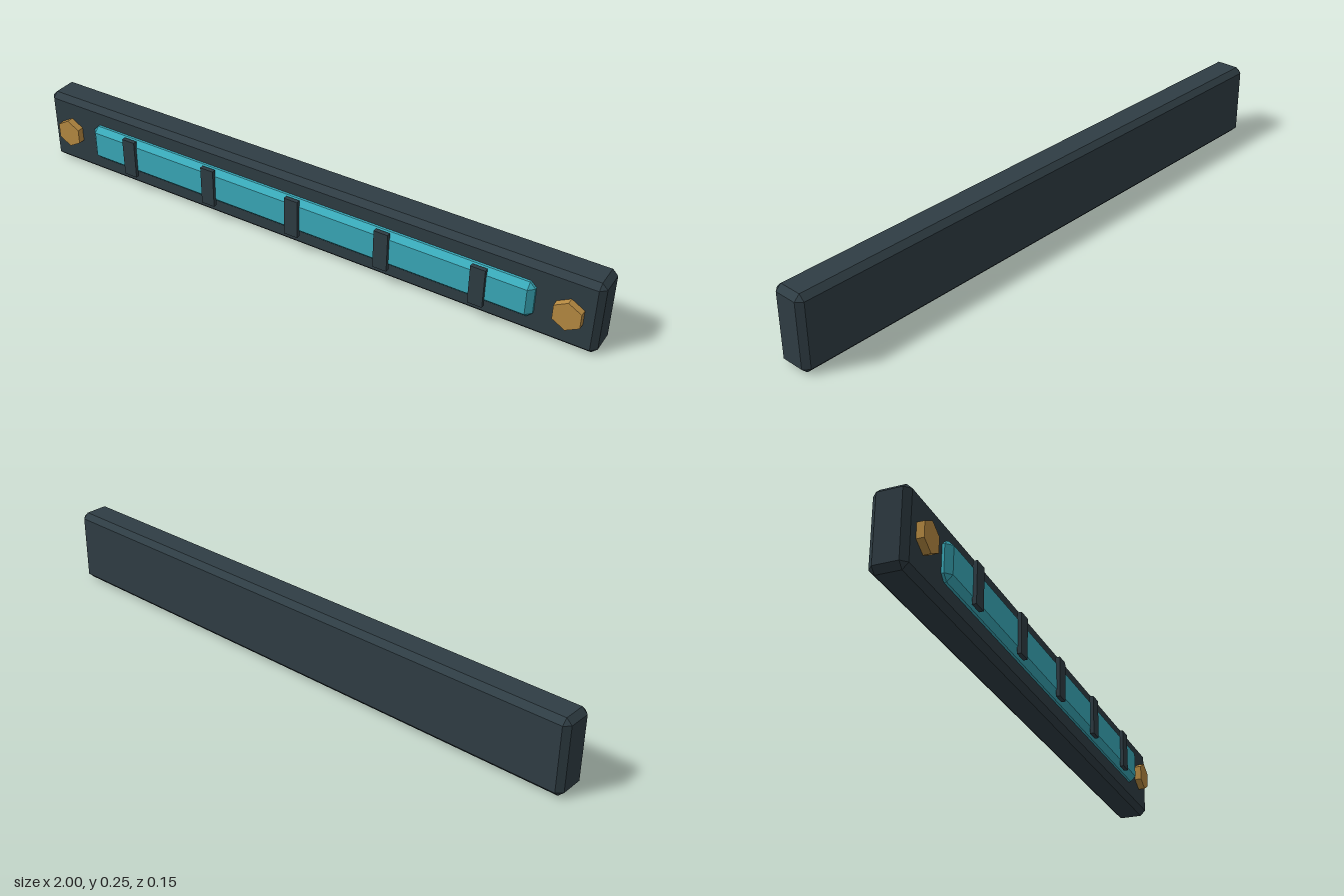
import * as THREE from 'three';
import { ConvexGeometry } from 'three/addons/geometries/ConvexGeometry.js';

const material = (name, color) => {
  const m = new THREE.MeshStandardMaterial({ color });
  m.name = name;
  return m;
};

// Box with every edge and corner cut at 45 degrees
function chamferBox(w, h, d, c) {
  const pts = [];
  for (const sx of [-1, 1]) for (const sy of [-1, 1]) for (const sz of [-1, 1]) {
    for (let face = 0; face < 3; face++) {
      const cut = [c, c, c];
      cut[face] = 0;
      pts.push(new THREE.Vector3(sx * (w / 2 - cut[0]), sy * (h / 2 - cut[1]), sz * (d / 2 - cut[2])));
    }
  }
  return new ConvexGeometry(pts);
}

export function createModel() {
  const group = new THREE.Group();
  group.name = 'lightBar';
  const slate = material('darkSlate', 0x2f3d44);
  const teal = material('tealGlow', 0x3aabbb);
  const brass = material('brass', 0xb88b42);

  const add = (name, geometry, mat, x, y, z) => {
    const mesh = new THREE.Mesh(geometry, mat);
    mesh.name = name;
    mesh.position.set(x, y, z);
    group.add(mesh);
  };

  // Housing and the lamp set into its front
  add('housing', chamferBox(2, 0.25, 0.112, 0.018), slate, 0, 0.125, -0.018);
  add('lamp', chamferBox(1.608, 0.124, 0.054, 0.018), teal, 0, 0.126, 0.037);

  // Guard bars across the lamp
  const bar = new THREE.BoxGeometry(0.048, 0.134, 0.014);
  for (let i = -2; i <= 2; i++) add('guardBar', bar, slate, i * 0.318, 0.126, 0.068);

  // Hexagonal bolts with a point at the top
  const bolt = new THREE.CylinderGeometry(0.049, 0.049, 0.03, 6).toNonIndexed();
  bolt.rotateX(Math.PI / 2);
  bolt.computeVertexNormals();
  for (const side of [-1, 1]) add('bolt', bolt, brass, side * 0.909, 0.126, 0.046);

  return group;
}
